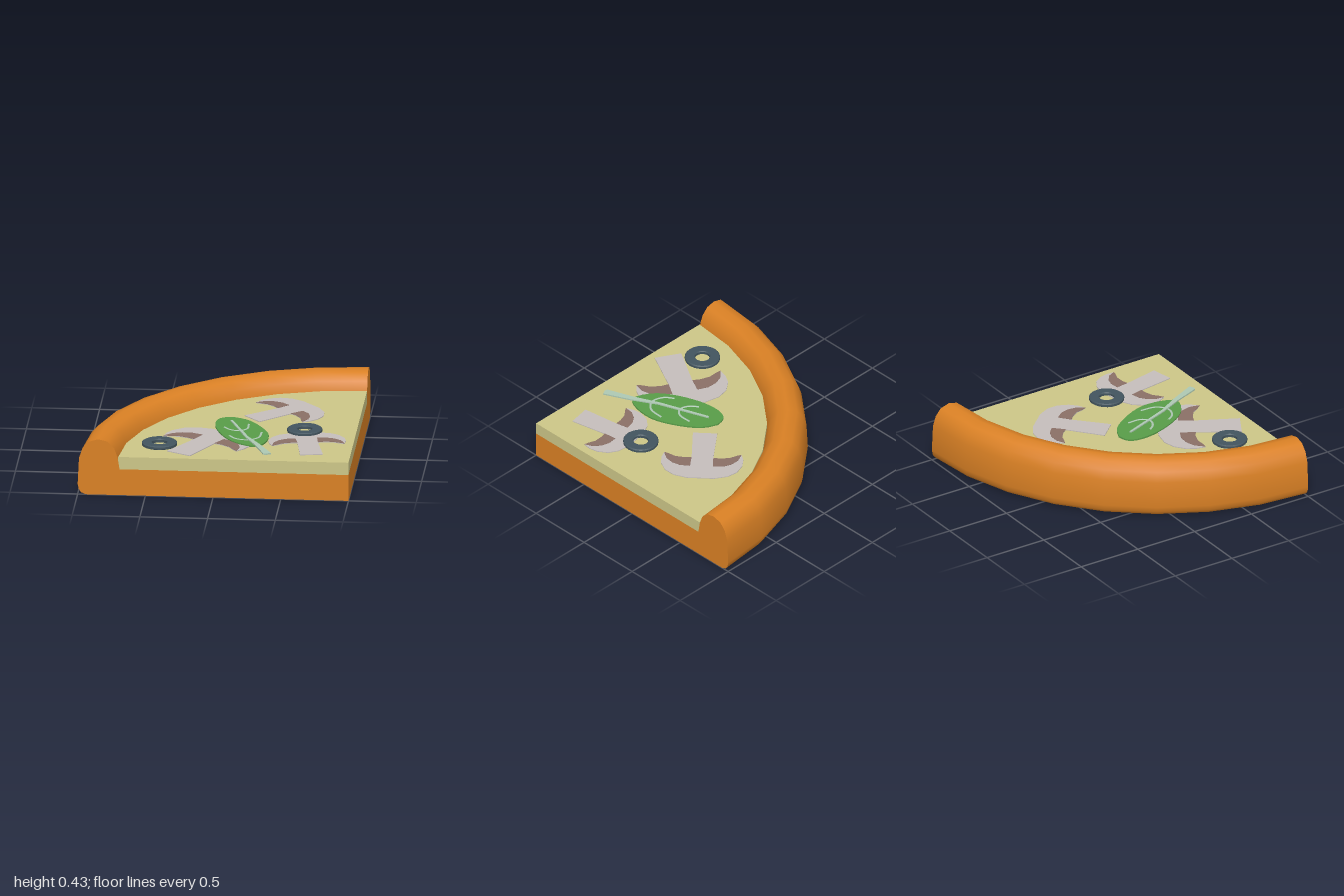
import * as THREE from 'three';
import { toCreasedNormals } from 'three/addons/utils/BufferGeometryUtils.js';

const mat = (name, color, side = THREE.FrontSide) => {
  const m = new THREE.MeshStandardMaterial({ color, side });
  m.name = name;
  return m;
};
const V = (pts) => pts.map(([x, y]) => new THREE.Vector2(x, y));

export function createModel() {
  const crustMat = mat('baked crust', 0xd98024);
  const cheeseMat = mat('cheese', 0xccc687);
  const mushroomMat = mat('mushroom flesh', 0xc4bdbb);
  const gillMat = mat('mushroom gills', 0x8a6f66);
  const leafMat = mat('leaf green', 0x589c48);
  const veinMat = mat('leaf vein', 0xadc8b2);
  const oliveMat = mat('olive', 0x42545e);

  const root = new THREE.Group();
  root.name = 'pizzaSlice';

  const add = (parent, name, geo, material, x = 0, y = 0, z = 0) => {
    const mesh = new THREE.Mesh(geo, material);
    mesh.name = name;
    mesh.position.set(x, y, z);
    parent.add(mesh);
    return mesh;
  };
  // Lays a shape flat: shape x stays x, shape y points to -z, depth goes up
  const slab = (shape, depth) =>
    new THREE.ExtrudeGeometry(shape, { depth, bevelEnabled: false, curveSegments: 10 }).rotateX(-Math.PI / 2);

  // Crust: quarter turn of the dough profile about the tip of the slice
  const profile = V([
    [0, 0], [1.94, 0], [1.975, 0.015], [1.992, 0.04], [2, 0.08], [1.99, 0.28], [1.965, 0.355],
    [1.92, 0.407], [1.85, 0.428], [1.78, 0.412], [1.73, 0.36], [1.705, 0.29], [1.69, 0.2], [0, 0.2],
  ]);
  const dough = new THREE.LatheGeometry(profile, 8, Math.PI, Math.PI / 2);
  add(root, 'crust', toCreasedNormals(dough, 0.75), crustMat, 1, 0, 1);

  // Cut faces of the dough
  const mirrored = profile.map((p) => new THREE.Vector2(-p.x, p.y));
  add(root, 'frontCut', new THREE.ShapeGeometry(new THREE.Shape(mirrored)), crustMat, 1, 0, 1);
  const sideCut = new THREE.ShapeGeometry(new THREE.Shape(profile)).rotateY(Math.PI / 2);
  add(root, 'sideCut', sideCut, crustMat, 1, 0, 1);

  // Cheese layer
  const wedge = [[0, 0]];
  for (let i = 0; i <= 8; i++) {
    const a = Math.PI / 2 + (i / 8) * (Math.PI / 2);
    wedge.push([1.7 * Math.cos(a), 1.7 * Math.sin(a)]);
  }
  add(root, 'cheese', slab(new THREE.Shape(V(wedge)), 0.095), cheeseMat, 1, 0.2, 1);

  // Mushroom slices: half outline mirrored, with a gill patch on each side
  const half = [
    [0.09, -0.26], [0.08, 0.04], [0.13, 0.045], [0.2, 0.035], [0.25, 0.005], [0.285, -0.01],
    [0.302, 0.05], [0.3, 0.12], [0.265, 0.2], [0.2, 0.255], [0.1, 0.285],
  ];
  const flip = (pts) => pts.map(([x, y]) => [-x, y]).reverse();
  const capShape = new THREE.Shape(V([...half, ...flip(half)]));
  const gill = [
    [0.08, 0.04], [0.13, 0.045], [0.2, 0.035], [0.25, 0.005], [0.285, -0.01],
    [0.265, 0.06], [0.22, 0.11], [0.16, 0.14], [0.085, 0.145],
  ];
  const mushrooms = [
    [0.405, -0.14, -0.85, 1], [-0.12, 0.635, -0.51, 1.13], [0.67, 0.6, 0.18, 0.94],
  ];
  for (const [x, z, turn, s] of mushrooms) {
    const g = new THREE.Group();
    g.name = 'mushroom';
    g.position.set(x, 0.294, z);
    g.rotation.y = turn;
    g.scale.set(s, 1, s);
    add(g, 'mushroomSlice', slab(capShape, 0.007), mushroomMat);
    for (const pts of [gill, flip(gill)]) {
      add(g, 'gills', slab(new THREE.Shape(V(pts)), 0.003), gillMat, 0, 0.006, 0);
    }
    root.add(g);
  }

  // Olive rings
  const ring = V([
    [0.055, 0.004], [0.062, 0], [0.122, 0], [0.13, 0.006], [0.13, 0.023],
    [0.122, 0.029], [0.062, 0.029], [0.055, 0.023], [0.055, 0.004],
  ]);
  for (const [x, z] of [[-0.42, 0.69], [0.62, 0.29]]) {
    add(root, 'oliveRing', toCreasedNormals(new THREE.LatheGeometry(ring, 24), 0.5), oliveMat, x, 0.293, z);
  }

  // Leaf blade
  const blade = new THREE.Shape();
  blade.setFromPoints(new THREE.SplineCurve(V([
    [0.07, -0.035], [-0.01, -0.06], [-0.047, -0.15], [-0.03, -0.31], [0.04, -0.49], [0.14, -0.63],
    [0.29, -0.7], [0.355, -0.6], [0.365, -0.43], [0.3, -0.26], [0.19, -0.1], [0.07, -0.035],
  ])).getPoints(36));
  add(root, 'leaf', slab(blade, 0.012), leafMat, 0, 0.298, 0);

  // Main vein widening into the stalk
  const stalk = new THREE.Shape(V([
    [0.06, -0.14], [0.2, -0.52], [0.285, -0.7], [0.362, -0.9], [0.385, -0.903],
    [0.417, -0.885], [0.32, -0.685], [0.22, -0.51], [0.075, -0.133],
  ]));
  add(root, 'leafStalk', slab(stalk, 0.011), veinMat, 0, 0.308, 0);

  // Curved side veins
  const veins = [
    [[0.025, 0.28], [0.07, 0.335], [0.14, 0.36], [0.195, 0.31], [0.2, 0.2]],
    [[0.08, 0.48], [0.13, 0.545], [0.22, 0.57], [0.295, 0.51], [0.31, 0.385]],
  ];
  for (const pts of veins) {
    const path = new THREE.CatmullRomCurve3(pts.map(([x, z]) => new THREE.Vector3(x, 0, z)));
    const vein = add(root, 'leafVein', new THREE.TubeGeometry(path, 16, 0.009, 6), veinMat, 0, 0.31, 0);
    vein.scale.y = 0.5;
  }
  return root;
}
